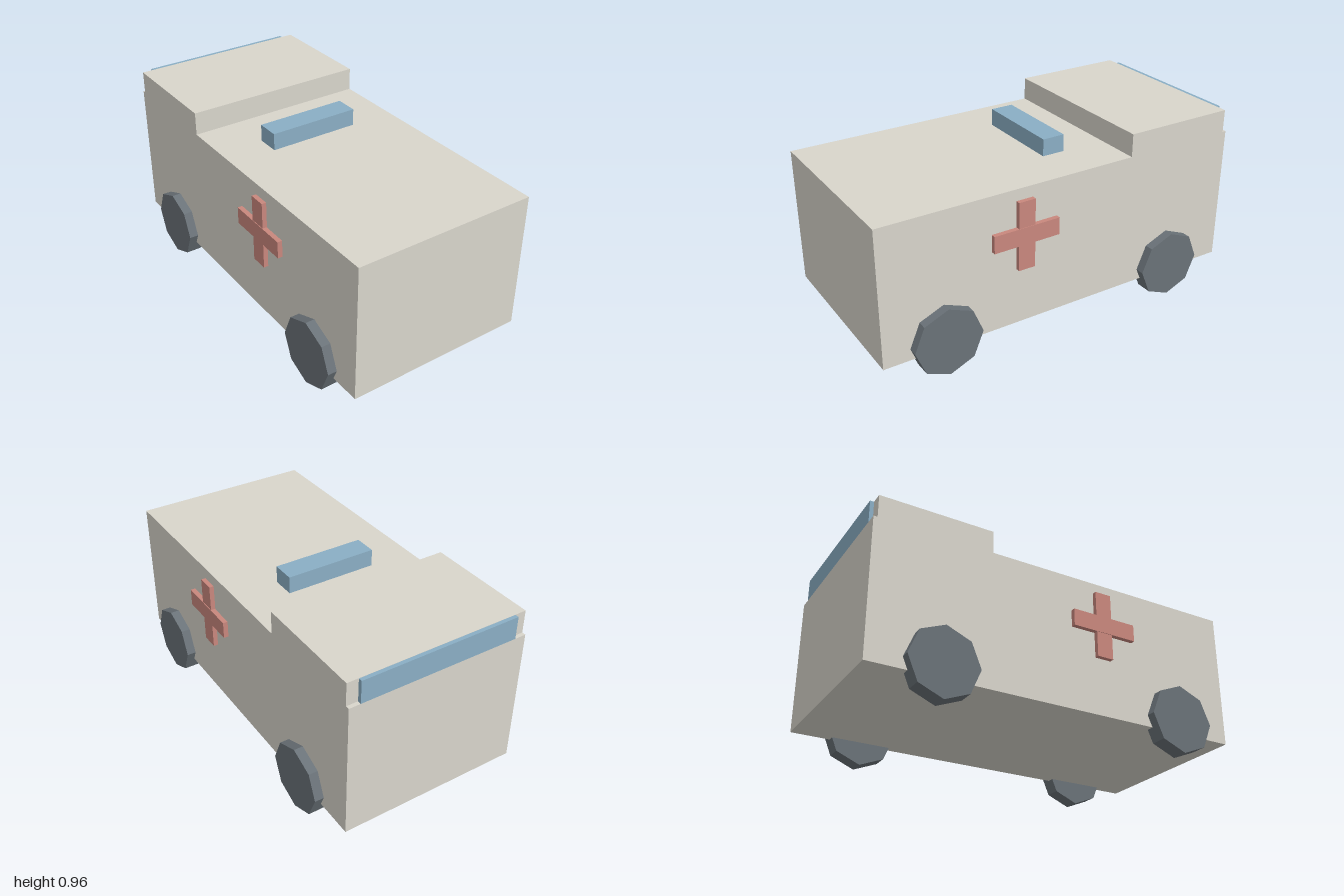
import * as THREE from 'three';

const material = (color) => new THREE.MeshStandardMaterial({ color, flatShading: true });

export function createModel() {
  const model = new THREE.Group();
  model.name = 'ambulance';

  const paint = material(0xd8d5cb);
  const glass = material(0x8aaec4);
  const red = material(0xc9877d);
  const rubber = material(0x6a7278);

  // Box given by its minimum and maximum corners
  const box = (name, min, max, mat, parent = model) => {
    const size = max.map((v, i) => v - min[i]);
    const mesh = new THREE.Mesh(new THREE.BoxGeometry(...size), mat);
    mesh.position.set(...max.map((v, i) => (v + min[i]) / 2));
    mesh.name = name;
    parent.add(mesh);
  };

  // Main body, raised roof section, its window and the roof light bar
  box('body', [-0.48, 0.12, -1], [0.48, 0.843, 1], paint);
  box('raisedRoof', [-0.48, 0.843, -0.98], [0.48, 0.963, -0.38], paint);
  box('window', [-0.42, 0.843, -1], [0.42, 0.962, -0.978], glass);
  box('lightBar', [-0.24, 0.843, -0.14], [0.24, 0.932, -0.02], glass);

  // Octagonal wheels, a point facing down
  const wheelGeometry = new THREE.CylinderGeometry(0.18, 0.18, 0.086, 8);
  wheelGeometry.rotateZ(Math.PI / 2);

  for (const [label, side] of [['left', 1], ['right', -1]]) {
    // Raised cross on each flank
    const cross = new THREE.Group();
    cross.name = `${label}Cross`;
    model.add(cross);
    const bar = (name, x0, x1, y0, y1, z0, z1) => {
      const [a, b] = side > 0 ? [x0, x1] : [-x1, -x0];
      box(name, [a, y0, z0], [b, y1, z1], red, cross);
    };
    bar('uprightBar', 0.478, 0.504, 0.423, 0.783, 0.197, 0.287);
    bar('crossBar', 0.482, 0.507, 0.558, 0.648, 0.062, 0.422);

    for (const [end, z] of [['Front', 0.68], ['Rear', -0.64]]) {
      const wheel = new THREE.Mesh(wheelGeometry, rubber);
      wheel.name = `${label}${end}Wheel`;
      wheel.position.set(side * 0.485, 0.18, z);
      model.add(wheel);
    }
  }

  return model;
}
